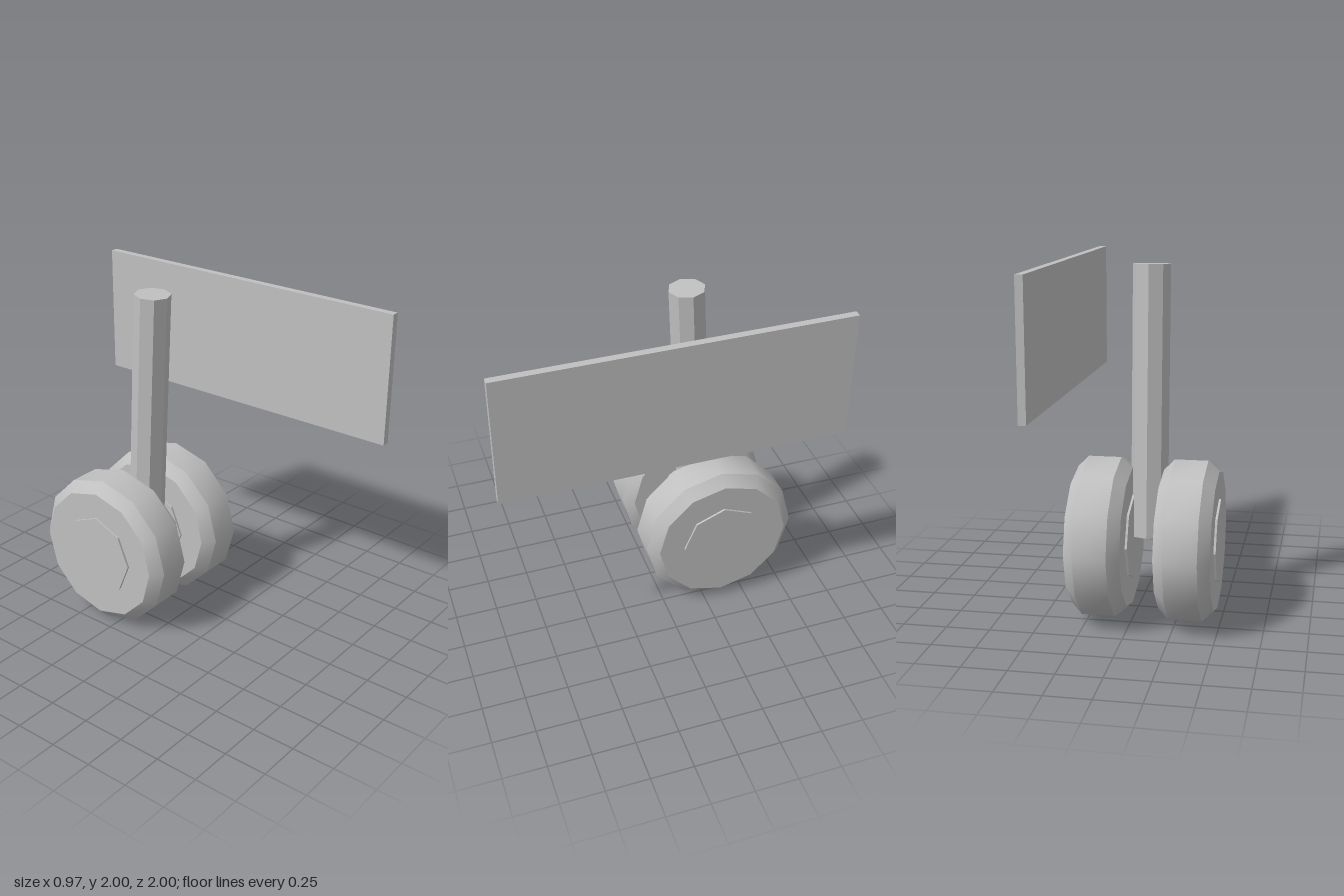
import * as THREE from 'three';
import { toCreasedNormals } from 'three/addons/utils/BufferGeometryUtils.js';

const AXLE = { x: -0.075, y: 0.463, z: -0.35 };

export function createModel() {
  const group = new THREE.Group();
  const grey = new THREE.MeshStandardMaterial({ color: 0xc0c0c0 });
  grey.name = 'light grey';

  const add = (name, geometry, x, y, z) => {
    // 12-sided tyres stay smooth, 8-sided parts and chamfers stay sharp
    const mesh = new THREE.Mesh(toCreasedNormals(geometry, 0.6), grey);
    mesh.name = name;
    mesh.position.set(x, y, z);
    group.add(mesh);
    return mesh;
  };

  // twin wheels: chamfered tyre with a hub poking out of both sides
  const tyreProfile = [
    [0, -0.155], [0.398, -0.155], [0.46, -0.093],
    [0.46, 0.093], [0.398, 0.155], [0, 0.155],
  ].map(([r, y]) => new THREE.Vector2(r, y));
  for (const [side, s] of [['left', 1], ['right', -1]]) {
    const x = AXLE.x + s * 0.245;
    const tyre = new THREE.LatheGeometry(tyreProfile, 12).rotateZ(Math.PI / 2);
    const hub = new THREE.CylinderGeometry(0.244, 0.244, 0.335, 8).rotateZ(Math.PI / 2);
    add(side + 'Tyre', tyre, x, AXLE.y, AXLE.z);
    add(side + 'Hub', hub, x, AXLE.y, AXLE.z);
  }

  // strut leaning slightly forward at the top
  const strut = add('strut', new THREE.CylinderGeometry(0.106, 0.106, 1.53, 8), AXLE.x, 1.23, -0.272);
  strut.rotation.x = 0.05;

  // door panel beside the strut
  add('doorPanel', new THREE.BoxGeometry(0.044, 0.765, 2), 0.463, 1.6135, 0);

  return group;
}
